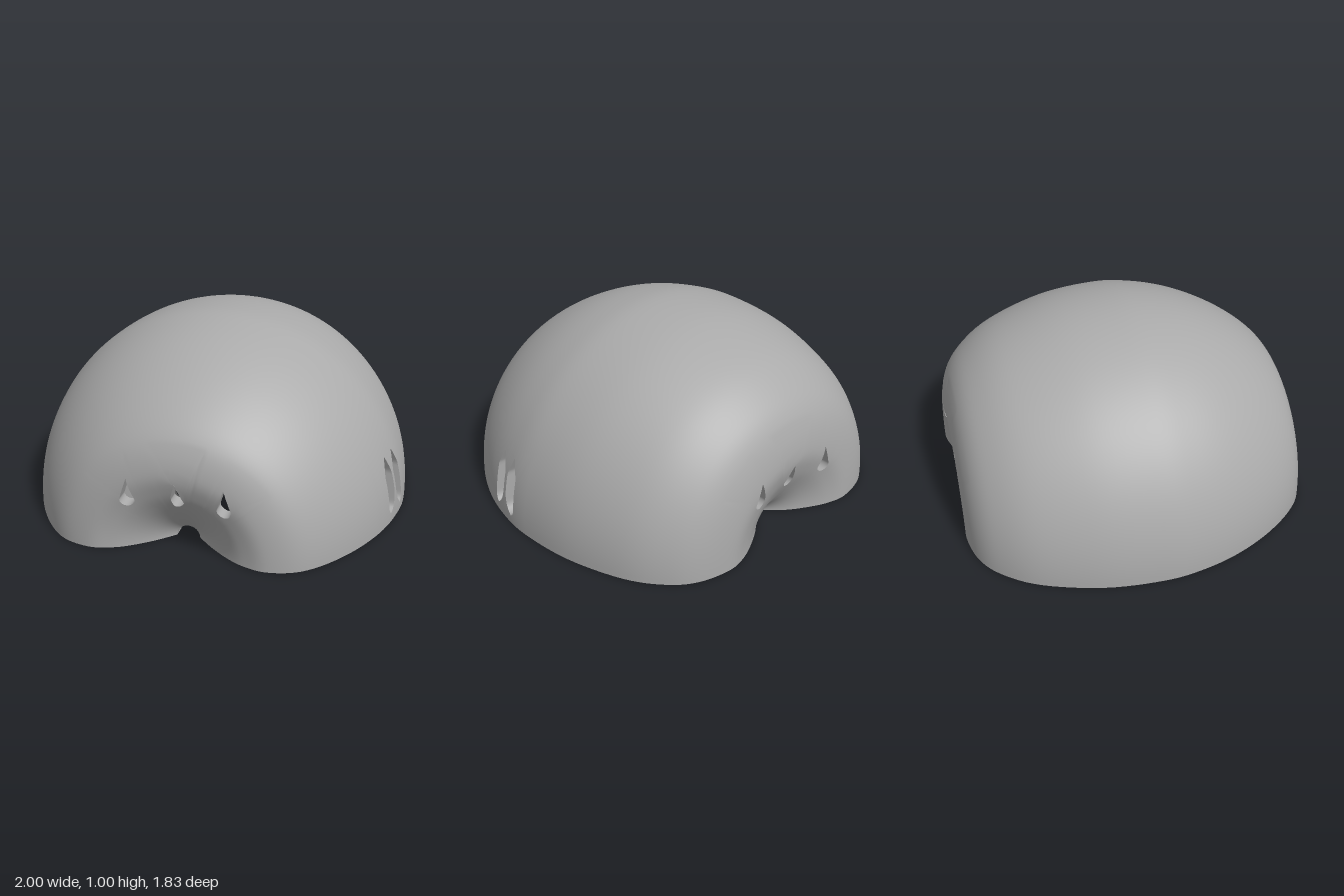
import * as THREE from 'three';
import { mergeVertices } from 'three/addons/utils/BufferGeometryUtils.js';

const V2 = THREE.Vector2;
const curve = (pts) => new THREE.SplineCurve(pts.map(([z, r]) => new V2(z, r)));

// Profiles (z, radius) turned half way round the z axis, front dimple to back dimple
const outer = curve([[0.69, 0.06], [0.775, 0.15], [0.85, 0.25], [0.895, 0.34], [0.915, 0.45], [0.875, 0.59],
  [0.77, 0.71], [0.6, 0.83], [0.4, 0.925], [0.2, 0.98], [0, 1], [-0.3, 0.97], [-0.6, 0.872], [-0.78, 0.75],
  [-0.875, 0.62], [-0.915, 0.45], [-0.895, 0.33], [-0.845, 0.22], [-0.775, 0.11], [-0.67, 0]]);
const inner = curve([[0.62, 0.06], [0.69, 0.165], [0.765, 0.26], [0.82, 0.345], [0.84, 0.45], [0.8, 0.555],
  [0.71, 0.66], [0.56, 0.765], [0.39, 0.85], [0.195, 0.905], [0, 0.925], [-0.285, 0.895], [-0.56, 0.805], [-0.72, 0.695],
  [-0.805, 0.585], [-0.84, 0.45], [-0.82, 0.34], [-0.765, 0.235], [-0.69, 0.12], [-0.6, 0]]);
const STEP = 6, NA = 19 * STEP, NT = 90, MID = 10 / 19;

// Point on a skin; p = [profile parameter, angle]
function at(skin, [a, t]) {
  const p = skin.getPoint(a);
  return new THREE.Vector3(p.y * Math.cos(t), p.y * Math.sin(t), p.x);
}
const cell = (i, j) => [i / NA, (j / NT) * Math.PI];

// Profile parameter where coordinate key reaches v between lo and hi
function find(skin, key, v, lo, hi) {
  const rising = skin.getPoint(hi)[key] > skin.getPoint(lo)[key];
  for (let k = 0; k < 30; k++) {
    const m = (lo + hi) / 2;
    if ((skin.getPoint(m)[key] < v) === rising) lo = m; else hi = m;
  }
  return (lo + hi) / 2;
}

// Pointed opening with a round lower end
function pointed(c, tip, shoulder, low, r) {
  const p = new THREE.Path();
  p.moveTo(c, tip);
  p.lineTo(c + r, shoulder);
  if (low < shoulder) p.lineTo(c + r, low);
  p.absarc(c, low, r, 0, Math.PI, true);
  if (low < shoulder) p.lineTo(c - r, shoulder);
  p.lineTo(c, tip);
  return p;
}

// Openings: outline, cutting direction and the grid window they sit in
const openings = [];
for (const back of [false, true]) {
  for (const [x, j0, j1] of [[0.24, 20, 32], [0, 38, 52], [-0.24, 58, 70]]) {
    const rows = back ? [14, x ? 17 : 18] : [x ? 2 : 1, 5];
    openings.push({ name: 'dropOpening', path: pointed(x, 0.4, 0.287, 0.287, 0.037), back,
      i0: rows[0] * STEP, i1: rows[1] * STEP, j0, j1 });
  }
}
[[0.255, 8], [0.145, 9]].forEach(([z, row]) => openings.push({ name: 'sideSlot', slot: true,
  path: pointed(z, 0.36, 0.26, 0.085, 0.043), i0: row * STEP, i1: (row + 1) * STEP, j0: 0, j1: 13 }));

const flatten = (o, p) => new V2(o.slot ? p.z : p.x, p.y);

// Outline of an opening in skin parameters
function toParam(o, skin, q) {
  if (o.slot) {
    const a = find(skin, 'x', q.x, 5 / 19, 14 / 19);
    return [a, Math.asin(q.y / skin.getPoint(a).y)];
  }
  const a = o.back ? find(skin, 'y', q.length(), MID, 1) : find(skin, 'y', q.length(), 0, MID);
  return [a, Math.atan2(q.y, q.x)];
}

// Window edge, wound like the outline and starting beside its tip
function windowEdge(o) {
  let edge = [];
  for (let i = o.i0; i < o.i1; i++) edge.push(cell(i, o.j0));
  for (let j = o.j0; j < o.j1; j++) edge.push(cell(o.i1, j));
  for (let i = o.i1; i > o.i0; i--) edge.push(cell(i, o.j1));
  for (let j = o.j1; j > o.j0; j--) edge.push(cell(o.i0, j));
  const flat = () => edge.map((p) => flatten(o, at(outer, p)));
  const line = o.path.getSpacedPoints(edge.length).slice(0, edge.length);
  if (THREE.ShapeUtils.area(flat()) * THREE.ShapeUtils.area(line) < 0) edge.reverse();
  const d = flat().map((p) => p.distanceTo(line[0]));
  const s = d.indexOf(Math.min(...d));
  return { edge: [...edge.slice(s), ...edge.slice(0, s)], line };
}

function geometryFrom(points) {
  const g = mergeVertices(new THREE.BufferGeometry().setFromPoints(points), 1e-5);
  g.computeVertexNormals();
  return g;
}

// One skin of the shell with its openings left free
function skinGeometry(skin, side) {
  const out = [];
  const tri = (p, q, r) => {
    const area = (q[0] - p[0]) * (r[1] - p[1]) - (q[1] - p[1]) * (r[0] - p[0]);
    const list = area * side > 0 ? [p, q, r] : [p, r, q];
    out.push(...list.map((v) => at(skin, v)));
  };
  const quad = (a, b, c, d) => { tri(a, b, c); tri(a, c, d); };
  for (let i = 0; i < NA; i++) {
    for (let j = 0; j < NT; j++) {
      if (openings.some((o) => i >= o.i0 && i < o.i1 && j >= o.j0 && j < o.j1)) continue;
      quad(cell(i, j), cell(i + 1, j), cell(i + 1, j + 1), cell(i, j + 1));
    }
  }
  const RINGS = 5;
  for (const o of openings) {
    const { edge, line } = windowEdge(o);
    const hole = line.map((q) => toParam(o, skin, q));
    const mix = (k, f) => [0, 1].map((c) => edge[k][c] + (hole[k][c] - edge[k][c]) * f);
    for (let m = 0; m < RINGS; m++) {
      edge.forEach((_, k) => {
        const n = (k + 1) % edge.length, f = m / RINGS, g = (m + 1) / RINGS;
        quad(mix(k, f), mix(n, f), mix(n, g), mix(k, g));
      });
    }
  }
  return geometryFrom(out);
}

// Strip joining two rows of points
function ribbon(a, b) {
  const out = [];
  for (let k = 0; k + 1 < a.length; k++) out.push(a[k], b[k], b[k + 1], a[k], b[k + 1], a[k + 1]);
  return geometryFrom(out);
}

// Upright solid from a plan (x, -z), its top trimmed to the inside of the shell
function upright(shape, height) {
  const g = new THREE.ExtrudeGeometry(shape, { depth: 1, bevelEnabled: false, curveSegments: 16 });
  g.rotateX(-Math.PI / 2);
  const p = g.attributes.position;
  for (let k = 0; k < p.count; k++) {
    if (p.getY(k) < 0.5) continue;
    const r = outer.getPoint(find(outer, 'x', p.getZ(k), 4 / 19, 15 / 19)).y - 0.04;
    p.setY(k, Math.min(height, Math.sqrt(Math.max(0.0004, r * r - p.getX(k) ** 2))));
  }
  g.computeVertexNormals();
  return g;
}

// Plan with a round end at (x, z), running length along direction angle, with a screw hole
function roundEnded(x, z, radius, angle, length, hole) {
  const pts = [], N = 8;
  for (let k = 0; k <= 16; k++) {
    const t = Math.PI / 2 + (k / 16) * Math.PI;
    pts.push(new V2(Math.cos(t) * radius, Math.sin(t) * radius));
  }
  for (let k = 1; k <= N; k++) pts.push(new V2((length * k) / N, -radius));
  for (let k = N; k >= 1; k--) pts.push(new V2((length * k) / N, radius));
  const origin = new V2(0, 0), c = new V2(x, -z);
  const shape = new THREE.Shape(pts.map((p) => p.rotateAround(origin, angle).add(c)));
  shape.holes.push(new THREE.Path().absarc(x, -z, hole, 0, Math.PI * 2, true));
  return shape;
}

export function createModel() {
  const group = new THREE.Group();
  const grey = new THREE.MeshStandardMaterial({ color: 0xaaaaaa, side: THREE.DoubleSide });
  grey.name = 'plain grey';
  const add = (name, geometry) => {
    const mesh = new THREE.Mesh(geometry, grey);
    mesh.name = name;
    group.add(mesh);
  };

  // Shell
  add('outerShell', skinGeometry(outer, 1));
  add('innerShell', skinGeometry(inner, -1));
  for (const j of [0, NT]) {
    const row = (skin) => Array.from({ length: NA + 1 }, (_, i) => at(skin, cell(i, j)));
    add('bottomRim', ribbon(row(outer), row(inner)));
  }
  const arc = (skin) => Array.from({ length: NT + 1 }, (_, j) => at(skin, cell(0, j)));
  add('stemHole', ribbon(arc(outer), arc(inner)));

  // Walls of the openings
  for (const o of openings) {
    const { line } = windowEdge(o);
    const loop = (skin) => [...line, line[0]].map((q) => at(skin, toParam(o, skin, q)));
    add(o.name, ribbon(loop(outer), loop(inner)));
  }

  // Screw bosses and ribs, repeated half a turn round
  for (const s of [1, -1]) {
    const outward = s > 0 ? 0 : Math.PI;
    add('screwBoss', upright(roundEnded(0.725 * s, -0.4 * s, 0.115, outward, 0.13, 0.028), 1));
    add('screwBoss', upright(roundEnded(0.65 * s, 0.52 * s, 0.115, outward, 0.13, 0.028), 1));
    add('rib', upright(roundEnded(0.455 * s, -0.39 * s, 0.055, (Math.PI / 2) * s, 0.46, 0.024), 1));
    add('rib', upright(roundEnded(0.39 * s, 0.46 * s, 0.055, (-Math.PI / 2) * s, 0.4, 0.024), 1));
  }

  // Socket bracket on the right wall
  const rect = (x0, x1, z0, z1) => [[x0, -z0], [x1, -z0], [x1, -z1], [x0, -z1]].map(([x, y]) => new V2(x, y));
  const frame = new THREE.Shape(rect(-0.93, -0.68, -0.26, 0.21));
  frame.holes.push(new THREE.Path(rect(-0.86, -0.74, -0.19, 0.14)));
  add('socketBracket', upright(frame, 0.28));
  const lid = new THREE.BoxGeometry(0.16, 0.03, 0.45);
  lid.translate(-0.765, 0.265, -0.025);
  add('socketLid', lid);
  return group;
}
